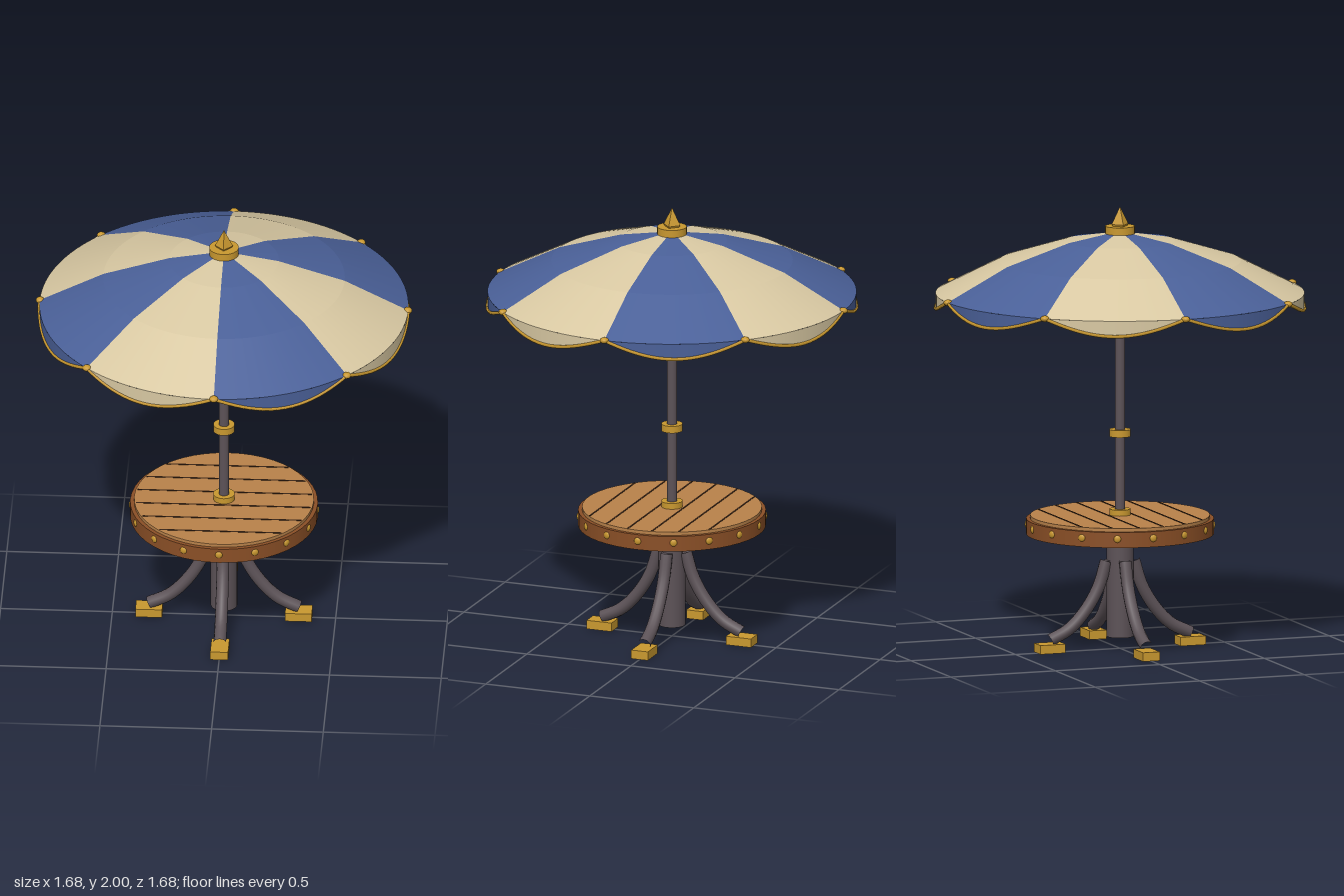
import * as THREE from 'three';
import { mergeGeometries } from 'three/addons/utils/BufferGeometryUtils.js';

const mat = (name, color, side = THREE.FrontSide) =>
  Object.assign(new THREE.MeshStandardMaterial({ color, side }), { name });

export function createModel() {
  const root = new THREE.Group();
  root.name = 'parasolTable';

  const blue = mat('blueCloth', 0x4a6098, THREE.DoubleSide);
  const cream = mat('creamCloth', 0xd8c8a2, THREE.DoubleSide);
  const gold = mat('brass', 0xc9982f);
  const iron = mat('darkIron', 0x5c5257);
  const plank = mat('plankWood', 0xb9824a);
  const rim = mat('rimWood', 0x8a4f26);
  const groove = mat('grooveWood', 0x3a2415);

  const add = (name, geo, material, x = 0, y = 0, z = 0, parent = root) => {
    const m = new THREE.Mesh(geo, material);
    m.name = name;
    m.position.set(x, y, z);
    parent.add(m);
    return m;
  };
  // Upright cylinder between two heights
  const disc = (name, r, y0, y1, material, seg = 32) =>
    add(name, new THREE.CylinderGeometry(r, r, y1 - y0, seg), material, 0, (y0 + y1) / 2);
  // Group turned about the vertical axis; its +z becomes the radial direction
  const spoke = (name, angle) => {
    const g = new THREE.Group();
    g.name = name;
    g.rotation.y = angle;
    root.add(g);
    return g;
  };

  // Pedestal, pole and collars
  disc('pedestal', 0.06, 0.055, 0.52, iron, 24);
  disc('pole', 0.023, 0.5, 1.885, iron, 20);
  disc('tableCollar', 0.048, 0.6, 0.632, gold);
  disc('poleCollar', 0.048, 0.96, 0.992, gold);
  disc('crownCollar', 0.066, 1.878, 1.912, gold);
  add('finial', new THREE.OctahedronGeometry(0.04), gold, 0, 1.92).scale.y = 2;

  // Four curved legs with block feet
  const legPath = new THREE.CatmullRomCurve3([
    [0.066, 0.4], [0.105, 0.28], [0.17, 0.175], [0.245, 0.1], [0.335, 0.055],
  ].map(([r, y]) => new THREE.Vector3(0, y, r)));
  const legGeo = mergeGeometries([
    new THREE.TubeGeometry(legPath, 20, 0.028, 12),
    new THREE.CircleGeometry(0.028, 12).rotateX(-Math.PI / 2 + 0.3).translate(0, 0.4, 0.066),
  ]);
  for (let i = 0; i < 4; i++) {
    const g = spoke('legAssembly', i * Math.PI / 2);
    add('leg', legGeo, iron, 0, 0, 0, g);
    add('foot', new THREE.BoxGeometry(0.08, 0.04, 0.12), gold, 0, 0.025, 0.335, g).position.y = 0.02;
  }

  // Table top with plank grooves
  disc('tableRim', 0.42, 0.52, 0.59, rim, 48);
  disc('tableTop', 0.402, 0.58, 0.605, plank, 48);
  for (let i = 0; i < 6; i++) {
    const z = (i - 2.5) * 0.115;
    const len = 2 * Math.sqrt(0.4 ** 2 - z * z) - 0.01;
    add('plankGroove', new THREE.BoxGeometry(len, 0.004, 0.008), groove, 0, 0.6045, z);
  }

  // Studs around the rim
  for (let i = 0; i < 16; i++) {
    const g = spoke('studSpoke', i * Math.PI / 8);
    add('stud', new THREE.SphereGeometry(0.017, 10, 8), gold, 0, 0.56, 0.418, g).scale.z = 0.5;
  }

  // Canopy: eight panels of sloping bands with a scalloped valance
  const R = 0.825, edgeY = 1.61, drop = 0.07, step = Math.PI / 4;
  const profile = [[0.01, 1.887], [0.245, 1.847], [0.54, 1.755], [R, edgeY]];
  const scallopY = t => edgeY - drop * Math.sin(Math.PI * t);

  class Scallop extends THREE.Curve {
    getPoint(t, target = new THREE.Vector3()) {
      return target.set(R * Math.sin(t * step), scallopY(t), R * Math.cos(t * step));
    }
  }

  const bands = [];
  for (let i = 0; i < profile.length - 1; i++) {
    const [r0, y0] = profile[i], [r1, y1] = profile[i + 1];
    bands.push(new THREE.CylinderGeometry(r0, r1, y0 - y1, 12, 1, true, 0, step)
      .translate(0, (y0 + y1) / 2, 0));
  }
  const valance = new THREE.CylinderGeometry(R, R, 1, 16, 1, true, 0, step);
  const p = valance.attributes.position;
  for (let i = 0; i < p.count; i++) {
    const t = Math.atan2(p.getX(i), p.getZ(i)) / step;
    p.setY(i, p.getY(i) > 0 ? edgeY : scallopY(t));
  }
  const panelGeo = mergeGeometries([...bands, valance]);
  const trimGeo = new THREE.TubeGeometry(new Scallop(), 20, 0.008, 6);

  // Rib running just under the cloth
  const ribPath = new THREE.CurvePath();
  const ribPts = profile.map(([r, y]) => new THREE.Vector3(0, y - 0.012, r));
  for (let i = 0; i < 3; i++) ribPath.add(new THREE.LineCurve3(ribPts[i], ribPts[i + 1]));
  const ribGeo = new THREE.TubeGeometry(ribPath, 24, 0.008, 6);

  for (let i = 0; i < 8; i++) {
    const g = spoke('canopySection', i * step);
    add('canopyPanel', panelGeo, i % 2 ? cream : blue, 0, 0, 0, g);
    add('scallopTrim', trimGeo, gold, 0, 0, 0, g);
    add('rib', ribGeo, gold, 0, 0, 0, g);
    add('ribTip', new THREE.SphereGeometry(0.02, 10, 8), gold, 0, edgeY, R - 0.002, g).scale.y = 0.7;
  }
  disc('ribHub', 0.035, 1.845, 1.87, gold, 20);

  return root;
}
